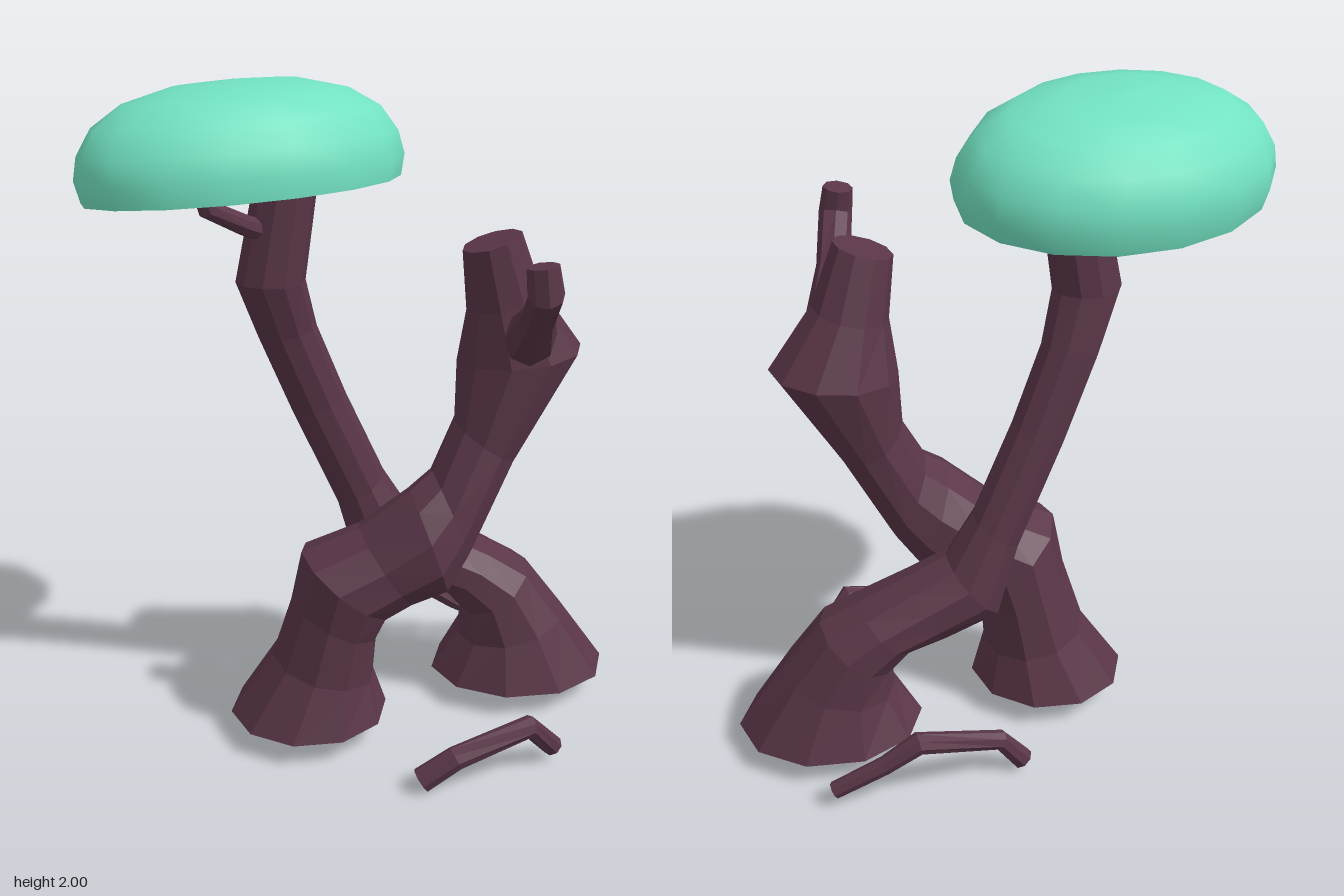
import * as THREE from 'three';

const bark = new THREE.MeshStandardMaterial({ color: 0x5a3648, flatShading: true });
const green = new THREE.MeshStandardMaterial({ color: 0x72e2c2 });

// Skin a list of rings (arrays of Vector3), closing both ends with a fan
function loft(name, rings) {
  const n = rings[0].length, pos = [], idx = [];
  for (const ring of rings) for (const p of ring) pos.push(p.x, p.y, p.z);
  for (let i = 0; i < rings.length - 1; i++) {
    for (let j = 0; j < n; j++) {
      const a = i * n + j, b = i * n + (j + 1) % n;
      idx.push(a, a + n, b, b, a + n, b + n);
    }
  }
  const last = (rings.length - 1) * n;
  for (let j = 1; j < n - 1; j++) {
    idx.push(0, j, j + 1);
    idx.push(last, last + j + 1, last + j);
  }
  const geo = new THREE.BufferGeometry();
  geo.setAttribute('position', new THREE.Float32BufferAttribute(pos, 3));
  geo.setIndex(idx);
  geo.computeVertexNormals();
  const mesh = new THREE.Mesh(geo, bark);
  mesh.name = name;
  return mesh;
}

function ring(center, u, w, sides) {
  return Array.from({ length: sides }, (_, j) => {
    const t = (j / sides) * Math.PI * 2;
    return center.clone().addScaledVector(u, Math.cos(t)).addScaledVector(w, Math.sin(t));
  });
}

// Trunk from sections [leftX, leftY, rightX, rightY, centreZ, halfDepth]
function trunk(name, sections) {
  return loft(name, sections.map(([lx, ly, rx, ry, z, d]) => ring(
    new THREE.Vector3((lx + rx) / 2, (ly + ry) / 2, z),
    new THREE.Vector3((rx - lx) / 2, (ry - ly) / 2, 0),
    new THREE.Vector3(0, 0, d), 10)));
}

// Twig along points [x, y, z, radius]; ref is an axis across the twig
function twig(name, points, ref = new THREE.Vector3(0, 0, 1)) {
  const p = points.map(([x, y, z]) => new THREE.Vector3(x, y, z));
  return loft(name, p.map((c, i) => {
    const t = new THREE.Vector3();
    if (i > 0) t.add(c.clone().sub(p[i - 1]).normalize());
    if (i < p.length - 1) t.add(p[i + 1].clone().sub(c).normalize());
    t.normalize();
    const u = t.clone().cross(ref).normalize();
    const w = u.clone().cross(t);
    const r = points[i][3];
    return ring(c, u.multiplyScalar(r), w.multiplyScalar(r), 8);
  }));
}

// Tilted oval dome with a flat underside
function canopy() {
  const g = new THREE.Group();
  g.name = 'canopy';
  const profile = [[0.97, 0], [1, 0.2], [0.97, 0.42], [0.87, 0.66], [0.68, 0.85], [0.38, 0.97], [0, 1]]
    .map(([x, y]) => new THREE.Vector2(x, y));
  const dome = new THREE.Mesh(new THREE.LatheGeometry(profile, 16), green);
  dome.name = 'canopyDome';
  const under = new THREE.Mesh(new THREE.CircleGeometry(0.97, 16).rotateX(Math.PI / 2), green);
  under.name = 'canopyUnderside';
  g.add(dome, under);
  g.scale.set(0.48, 0.3, 0.345);
  g.rotation.set(-0.12, 0.36, 0.045, 'XZY');
  g.position.set(-0.335, 1.7, -0.03);
  return g;
}

export function createModel() {
  const model = new THREE.Group();
  model.name = 'twistedTree';

  // Front trunk: leans across to the left and ends in a broken top
  model.add(trunk('frontTrunk', [
    [-0.42, 0.08, 0.06, 0.08, 0.03, 0.24],
    [-0.29, 0.27, 0.02, 0.2, 0.03, 0.19],
    [-0.23, 0.46, 0.03, 0.34, 0.04, 0.18],
    [-0.2, 0.62, 0.06, 0.41, 0.06, 0.18],
    [-0.03, 0.69, 0.13, 0.45, 0.07, 0.16],
    [0.12, 0.81, 0.23, 0.49, 0.09, 0.16],
    [0.19, 0.86, 0.3, 0.6, 0.07, 0.14],
    [0.26, 1.0, 0.44, 0.88, 0.03, 0.13],
    [0.27, 1.18, 0.64, 1.21, 0, 0.165],
    [0.29, 1.34, 0.51, 1.39, 0.025, 0.115],
    [0.27, 1.52, 0.44, 1.57, 0.05, 0.08],
  ]));

  // Back trunk: arches over, then rises as a slim stalk under the canopy
  model.add(trunk('backTrunk', [
    [0.24, 0.08, 0.8, 0.08, -0.15, 0.24],
    [0.32, 0.2, 0.66, 0.28, -0.15, 0.19],
    [0.33, 0.29, 0.54, 0.44, -0.16, 0.17],
    [0.27, 0.36, 0.42, 0.51, -0.17, 0.15],
    [0.16, 0.39, 0.27, 0.59, -0.17, 0.13],
    [0, 0.46, 0.16, 0.65, -0.17, 0.12],
    [-0.06, 0.68, 0.08, 0.78, -0.16, 0.09],
    [-0.2, 1.0, -0.04, 1.05, -0.12, 0.08],
    [-0.3, 1.25, -0.13, 1.28, -0.08, 0.08],
    [-0.365, 1.43, -0.165, 1.43, -0.04, 0.09],
    [-0.3, 1.75, -0.12, 1.76, -0.04, 0.08],
  ]));

  // Side branches
  model.add(twig('frontBranch', [
    [0.45, 1.24, 0.04, 0.1], [0.45, 1.29, 0.15, 0.075], [0.43, 1.39, 0.3, 0.05],
    [0.41, 1.5, 0.45, 0.05], [0.4, 1.58, 0.445, 0.045],
  ], new THREE.Vector3(1, 0, 0)));
  model.add(twig('stalkBranch', [
    [-0.26, 1.57, -0.03, 0.035], [-0.34, 1.61, 0.02, 0.03],
    [-0.44, 1.67, 0.07, 0.03], [-0.46, 1.74, 0.08, 0.028],
  ]));

  // Loose roots on the ground
  model.add(twig('frontRoot', [
    [0.1, 0.04, 0.43, 0.038], [0.2, 0.105, 0.43, 0.036], [0.43, 0.16, 0.38, 0.034], [0.52, 0.05, 0.32, 0.032],
  ]));
  model.add(twig('backRoot', [
    [-0.04, 0.04, -0.38, 0.034], [0.03, 0.13, -0.395, 0.03], [0.28, 0.21, -0.475, 0.034],
    [0.38, 0.14, -0.475, 0.028], [0.53, 0.06, -0.47, 0.026],
  ]));

  model.add(canopy());
  return model;
}
